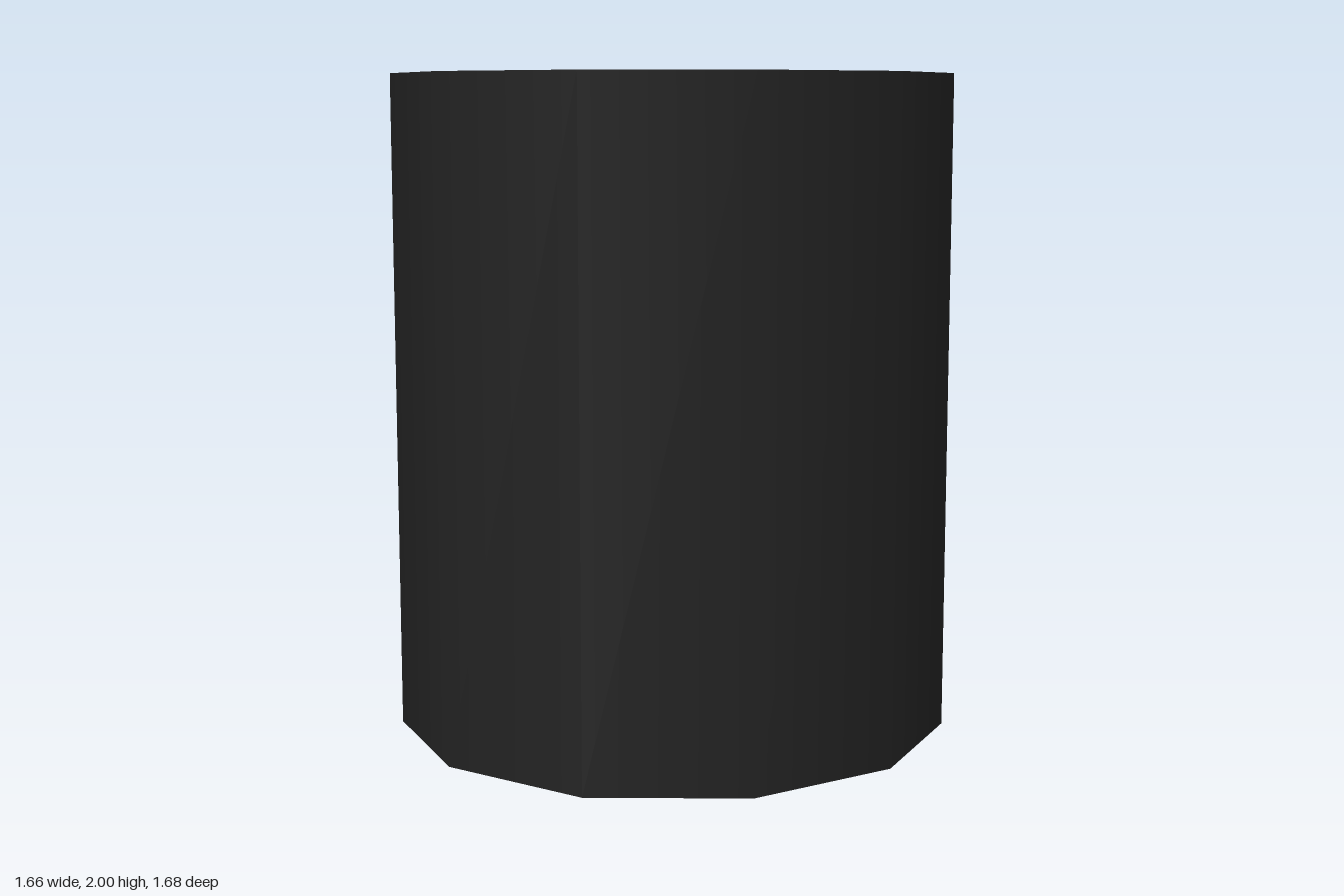
import * as THREE from 'three';

const TAU = Math.PI * 2;

// Round face with a centre bore, a ring of twelve bolt holes and an optional valve hole
function faceGeometry(withValve) {
  const shape = new THREE.Shape().absellipse(0, -0.005, 0.513, 0.513, 0, TAU, false);
  const cut = (x, y, rx, ry, turn = 0) =>
    shape.holes.push(new THREE.Path().absellipse(x, y, rx, ry, 0, TAU, true, turn));
  cut(-0.007, 0.005, 0.094, 0.096);
  for (let i = 0; i < 12; i++) {
    const a = (i / 12) * TAU;
    cut(0.323 * Math.cos(a), 0.008 + 0.325 * Math.sin(a), 0.023, 0.029, a * 0.5);
  }
  if (withValve) cut(0.12, 0.4, 0.026, 0.018, 0.7);
  return new THREE.ShapeGeometry(shape, 32);
}

export function createModel() {
  const group = new THREE.Group();
  const rubber = new THREE.MeshStandardMaterial({ color: 0x222222 });
  rubber.name = 'dark rubber';
  const metal = new THREE.MeshStandardMaterial({ color: 0x515151 });
  metal.name = 'grey metal';

  // Eleven-sided drum with a corner on +x and smooth-shaded sides
  const drum = new THREE.Mesh(
    new THREE.CylinderGeometry(0.847, 0.847, 1.996, 11, 1, false, Math.PI / 2), rubber);
  drum.name = 'drum';
  drum.position.set(-0.017, 1, 0);
  group.add(drum);

  // Hub faces, one on each end
  for (const top of [true, false]) {
    const hub = new THREE.Mesh(faceGeometry(top), metal);
    hub.name = top ? 'topHubFace' : 'bottomHubFace';
    hub.rotation.x = top ? -Math.PI / 2 : Math.PI / 2;
    hub.position.y = top ? 2 : 0;
    group.add(hub);
  }
  return group;
}
